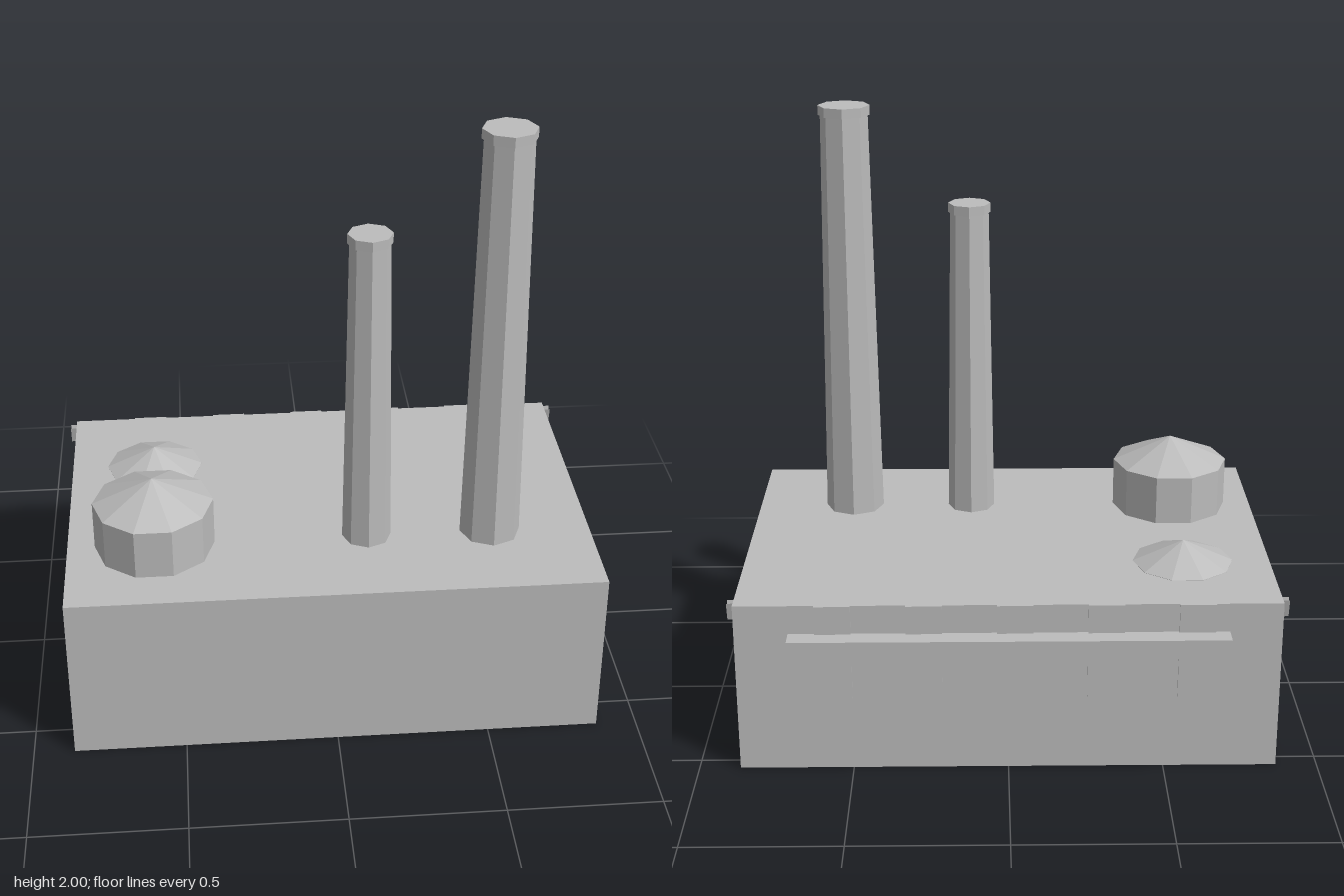
import * as THREE from 'three';

const grey = new THREE.MeshStandardMaterial({
  color: 0xbcbcbc, flatShading: true, side: THREE.DoubleSide,
});
grey.name = 'concrete grey';

export function createModel() {
  const group = new THREE.Group();
  group.name = 'factory';

  function add(name, geometry, x, y, z) {
    const mesh = new THREE.Mesh(geometry, grey);
    mesh.name = name;
    mesh.position.set(x, y, z);
    group.add(mesh);
    return mesh;
  }

  // Faceted shell turned from [radius, height] pairs, open underneath
  const turned = (points, sides, start = 0) => new THREE.LatheGeometry(
    points.map(([r, y]) => new THREE.Vector2(r, y)), sides, start);

  // Main hall, without a floor
  const hall = new THREE.BoxGeometry(1.734, 0.578, 1.157);
  const index = Array.from(hall.index.array);
  index.splice(18, 6);
  hall.setIndex(index);
  hall.clearGroups();
  add('hall', hall, 0, 0.289, 0.031);

  // Chimneys: flared foot, tapering shaft, narrow rim
  const chimney = (name, x, z, h, foot, roof, neck, rim) =>
    add(name, turned([
      [foot, 0], [roof * 1.07, 0.25], [roof, 0.58],
      [neck, h - 0.032], [rim, h - 0.032], [rim, h], [0, h],
    ], 8), x, 0, z);
  chimney('tallChimney', 0.533, 0.277, 2, 0.137, 0.1, 0.079, 0.086);
  chimney('shortChimney', 0.121, 0.274, 1.672, 0.115, 0.081, 0.065, 0.071);

  // Round tanks with shallow conical lids
  const tank = (name, z, r, eave, apex) =>
    add(name, turned([[r, 0], [r, eave], [0, apex]], 10, Math.PI / 2), -0.58, 0, z);
  tank('largeTank', 0.277, 0.197, 0.745, 0.832);
  tank('smallTank', -0.219, 0.165, 0.579, 0.652);

  // Rear rail and the thin panels behind it
  add('rearRail', new THREE.BoxGeometry(1.396, 0.063, 0.064), -0.002, 0.45, -0.578);
  for (let i = 0; i < 5; i++) {
    add('rearPanel', new THREE.BoxGeometry(0.115, 0.325, 0.008), -0.597 + i * 0.288, 0.415, -0.551);
  }

  // V-shaped gutter ends on both sides
  for (const side of [-1, 1]) {
    for (const flank of [-1, 1]) {
      const plate = add('gutterEnd', new THREE.PlaneGeometry(0.024, 0.063),
        side * 0.876, 0.546, -0.511 + flank * 0.007);
      plate.rotation.x = flank * 0.22;
    }
  }
  return group;
}
